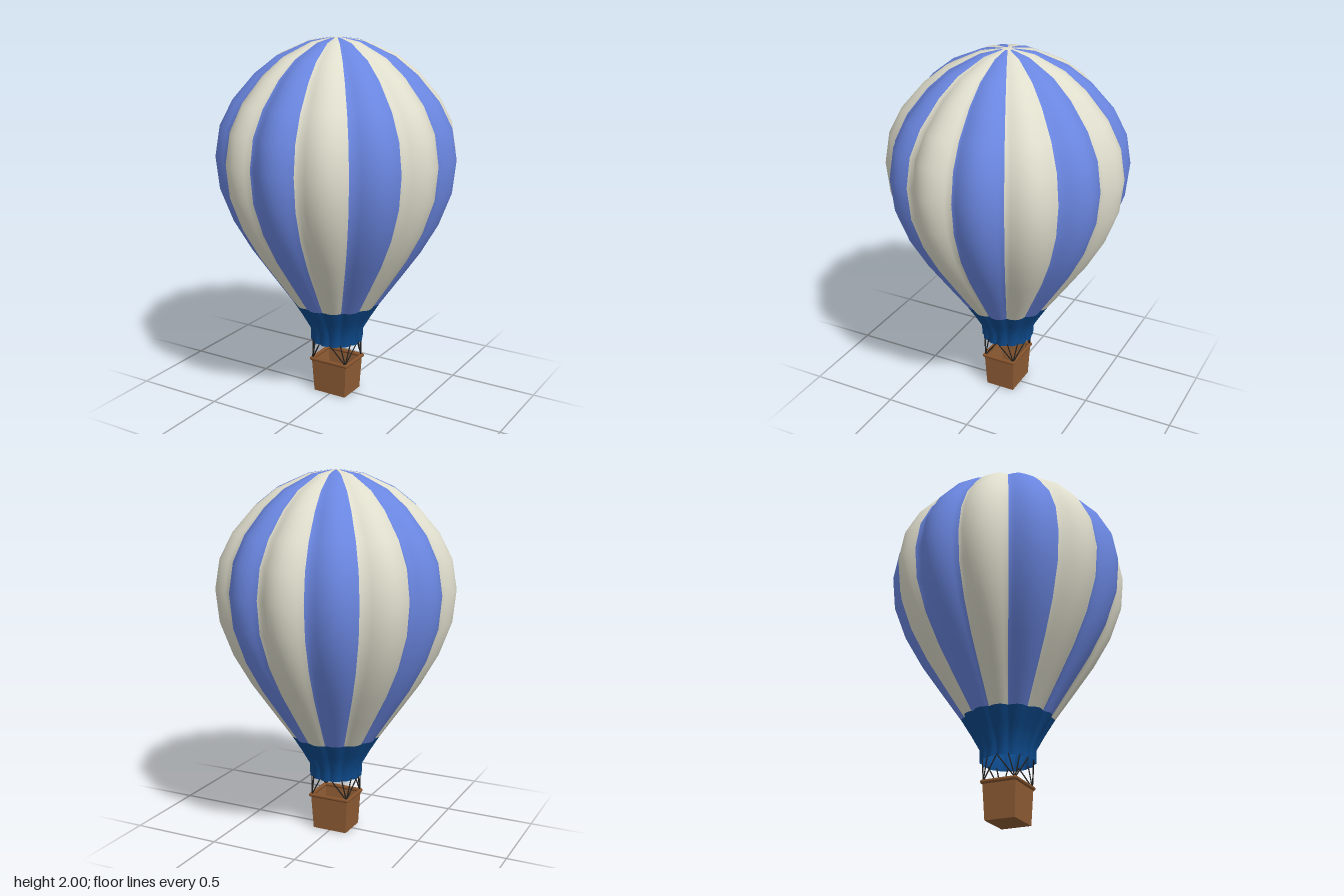
import * as THREE from 'three';

const SEGMENTS = 128;
const GORES = 14;

const paint = (name, color, side = THREE.FrontSide) => {
  const m = new THREE.MeshStandardMaterial({ color, side });
  m.name = name;
  return m;
};

// Radius factor of the puffed gores: 1 at the middle of a gore, lower at each seam
const puff = (a) => 0.925 + 0.075 * Math.abs(Math.sin((a * GORES) / 2));

// Fluted surface of revolution from [radius, y] rows, bottom to top.
// pick(segment) gives the material index of each vertical strip.
function flutedSurface(rows, pick, materialCount) {
  const positions = [];
  for (const [r, y] of rows) {
    for (let i = 0; i < SEGMENTS; i++) {
      const a = (i / SEGMENTS) * Math.PI * 2;
      const rr = r * puff(a);
      positions.push(rr * Math.cos(a), y, rr * Math.sin(a));
    }
  }
  const faces = Array.from({ length: materialCount }, () => []);
  for (let j = 0; j < rows.length - 1; j++) {
    for (let i = 0; i < SEGMENTS; i++) {
      const n = (i + 1) % SEGMENTS;
      const a = j * SEGMENTS + i, b = j * SEGMENTS + n;
      const d = a + SEGMENTS, c = b + SEGMENTS;
      faces[pick(i)].push(a, d, c, a, c, b);
    }
  }
  const geo = new THREE.BufferGeometry();
  geo.setAttribute('position', new THREE.Float32BufferAttribute(positions, 3));
  geo.setIndex(faces.flat());
  let start = 0;
  faces.forEach((f, m) => {
    geo.addGroup(start, f.length, m);
    start += f.length;
  });
  geo.computeVertexNormals();
  return geo;
}

// Round bar between two points
function bar(from, to, radius, material, name, sides = 8) {
  const dir = to.clone().sub(from);
  const mesh = new THREE.Mesh(new THREE.CylinderGeometry(radius, radius, dir.length(), sides), material);
  mesh.position.copy(from).add(to).multiplyScalar(0.5);
  mesh.quaternion.setFromUnitVectors(new THREE.Vector3(0, 1, 0), dir.normalize());
  mesh.name = name;
  return mesh;
}

export function createModel() {
  const cream = paint('cream fabric', 0xdfddcc, THREE.DoubleSide);
  const blue = paint('blue fabric', 0x6a86e0, THREE.DoubleSide);
  const navy = paint('navy fabric', 0x0d4a8c, THREE.DoubleSide);
  const wicker = paint('wicker', 0x8f5d35, THREE.DoubleSide);
  const trim = paint('rim leather', 0x84522c);
  const rope = paint('dark rope', 0x24221f);

  const model = new THREE.Group();
  model.name = 'hotAirBalloon';
  const add = (geo, mat, name, parent = model) => {
    const mesh = new THREE.Mesh(geo, mat);
    mesh.name = name;
    parent.add(mesh);
    return mesh;
  };

  // Striped envelope
  const envelopeRows = [
    [0.247, 0.55], [0.36, 0.71], [0.468, 0.865], [0.562, 1.03], [0.629, 1.21],
    [0.647, 1.385], [0.62, 1.545], [0.55, 1.68], [0.432, 1.815], [0.316, 1.905],
    [0.15, 1.978], [0.03, 1.997],
  ];
  const stripe = (i) => (Math.floor((i * GORES) / SEGMENTS) % 2 ? 1 : 0);
  add(flutedSurface(envelopeRows, stripe, 2), [cream, blue], 'envelope');

  // Crown patch closing the top
  add(flutedSurface([[0.03, 1.997], [0.0005, 2]], () => 0, 1), cream, 'crown');

  // Skirt at the mouth
  const skirtRows = [[0.147, 0.315], [0.149, 0.385], [0.194, 0.465], [0.247, 0.55]];
  add(flutedSurface(skirtRows, () => 0, 1), navy, 'skirt');

  // Open tapered basket: a box without its lid
  const basket = new THREE.Group();
  basket.name = 'basket';
  model.add(basket);
  const height = 0.2;
  const box = new THREE.BoxGeometry(0.222, height, 0.186);
  box.translate(0, height / 2, 0);
  const p = box.attributes.position;
  for (let i = 0; i < p.count; i++) {
    const s = 0.9 + (0.1 * p.getY(i)) / height;
    p.setX(i, p.getX(i) * s);
    p.setZ(i, p.getZ(i) * s);
  }
  const index = Array.from(box.index.array);
  index.splice(12, 6);
  box.setIndex(index);
  box.clearGroups();
  box.computeVertexNormals();
  add(box, wicker, 'basketBody', basket);

  // Rounded rim
  const rimX = 0.112, rimZ = 0.092, rimY = 0.197, rimR = 0.011;
  const corners = [[1, 1], [-1, 1], [-1, -1], [1, -1]].map(
    ([sx, sz]) => new THREE.Vector3(sx * rimX, rimY, sz * rimZ));
  corners.forEach((c, k) => {
    basket.add(bar(c, corners[(k + 1) % 4], rimR, trim, 'rimBar', 12));
    add(new THREE.SphereGeometry(rimR, 12, 8), trim, 'rimCorner', basket).position.copy(c);
  });

  // Ropes: each corner fans out to the four skirt seams of its quadrant
  for (const sx of [1, -1]) {
    for (const sz of [1, -1]) {
      const foot = new THREE.Vector3(sx * 0.107, 0.2, sz * 0.089);
      for (let k = 0; k < 4; k++) {
        const a = (k * Math.PI * 2) / GORES;
        const top = new THREE.Vector3(sx * 0.136 * Math.cos(a), 0.325, sz * 0.136 * Math.sin(a));
        model.add(bar(foot, top, 0.0035, rope, 'rope', 6));
      }
    }
  }
  return model;
}
